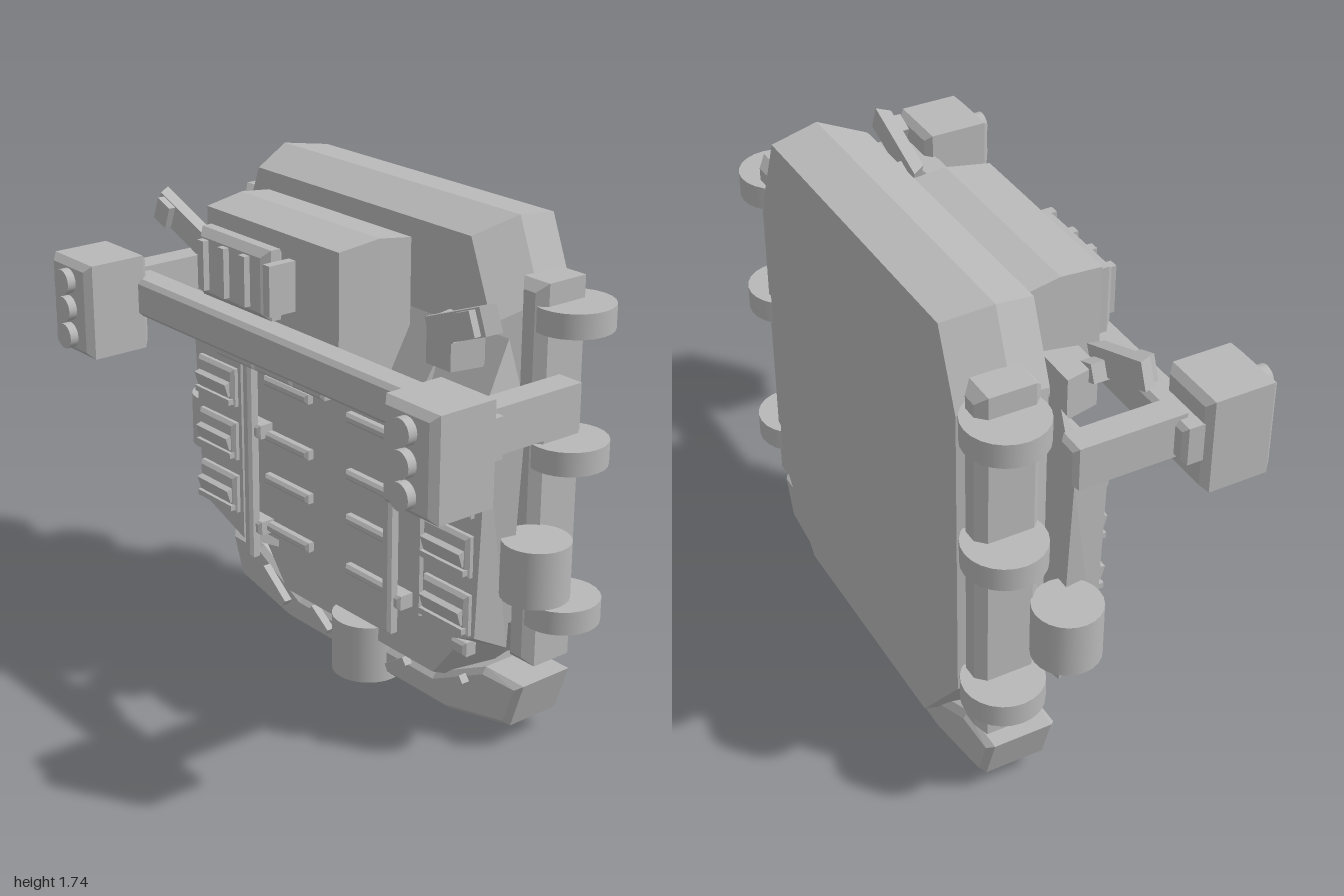
import * as THREE from 'three';

const grey = new THREE.MeshStandardMaterial({ color: 0xb8b8b8 });
grey.name = 'armourGrey';

// Faceted solid through convex cross-sections [z, [[x, y]...]], back to front, counter-clockwise
function loft(sections) {
  const v = [];
  const put = (s, i) => v.push(s[1][i][0], s[1][i][1], s[0]);
  const n = sections[0][1].length;
  for (let k = 0; k < sections.length - 1; k++) {
    const a = sections[k], b = sections[k + 1];
    for (let i = 0; i < n; i++) {
      const j = (i + 1) % n;
      put(a, i); put(a, j); put(b, j);
      put(a, i); put(b, j); put(b, i);
    }
  }
  const back = sections[0], front = sections[sections.length - 1];
  for (let i = 1; i < n - 1; i++) {
    put(front, 0); put(front, i); put(front, i + 1);
    put(back, 0); put(back, i + 1); put(back, i);
  }
  const g = new THREE.BufferGeometry();
  g.setAttribute('position', new THREE.Float32BufferAttribute(v, 3));
  g.computeVertexNormals();
  return g;
}

const rect = (x0, x1, y0, y1) => [[x0, y0], [x1, y0], [x1, y1], [x0, y1]];

// Box with chamfered edges, centred on the origin
function bevelBox(w, h, d, b) {
  const s = new THREE.Shape(rect(b - w / 2, w / 2 - b, b - h / 2, h / 2 - b).map(p => new THREE.Vector2(...p)));
  const g = new THREE.ExtrudeGeometry(s, {
    depth: d - 2 * b, bevelEnabled: true, bevelSize: b, bevelThickness: b, bevelSegments: 1,
  });
  return g.translate(0, 0, b - d / 2);
}

function add(parent, name, geometry, x = 0, y = 0, z = 0, rz = 0) {
  const m = new THREE.Mesh(geometry, grey);
  m.name = name;
  m.position.set(x, y, z);
  m.rotation.z = rz;
  parent.add(m);
  return m;
}

// Box given by its extents
function block(parent, name, x0, x1, y0, y1, z0, z1, b = 0) {
  const g = b ? bevelBox(x1 - x0, y1 - y0, z1 - z0, b) : new THREE.BoxGeometry(x1 - x0, y1 - y0, z1 - z0);
  return add(parent, name, g, (x0 + x1) / 2, (y0 + y1) / 2, (z0 + z1) / 2);
}

export function createModel() {
  const model = new THREE.Group();
  model.name = 'armouredPack';
  const body = new THREE.Group();
  body.name = 'body';
  body.position.x = -0.07;
  model.add(body);

  // Main octagonal back slab, bevelled front and back
  const octagon = d => [
    [-0.45, 0.11], [0.45, 0.11], [0.68, 0.4], [0.68, 1.49],
    [0.58, 1.74], [-0.58, 1.74], [-0.68, 1.49], [-0.68, 0.4],
  ].map(([x, y]) => [x - Math.sign(x) * d, y - Math.sign(y - 0.93) * d]);
  add(body, 'backSlab', loft([[-0.46, octagon(0.025)], [-0.295, octagon(0)], [-0.145, octagon(0.052)]]));

  // Recessed centre panel between the side pods
  add(body, 'centrePanel', loft([
    [-0.15, rect(-0.46, 0.46, 0.375, 1.41)], [-0.04, rect(-0.44, 0.44, 0.42, 1.2)],
  ]));

  for (const s of [-1, 1]) {
    const mirror = pts => (s > 0 ? pts : pts.map(([x, y]) => [-x, y]).reverse());

    // Side pod with sloping top and underside
    add(body, 'sidePod', loft([
      [-0.15, mirror([[0.44, 0.31], [0.735, 0.39], [0.785, 1.2], [0.7, 1.41], [0.44, 1.41]])],
      [-0.02, mirror([[0.48, 0.37], [0.725, 0.46], [0.755, 1.15], [0.73, 1.2], [0.485, 1.2]])],
    ]));

    // Louvred vents
    for (let i = 0; i < 4; i++) {
      const y = 1.135 - i * 0.2;
      add(body, 'ventFrame', bevelBox(0.21, 0.14, 0.04, 0.012), s * 0.605, y, -0.015);
      add(body, 'ventSlat', new THREE.BoxGeometry(0.18, 0.05, 0.03), s * 0.605, y - 0.005, 0.005).rotation.x = 0.3;
      add(body, 'ventLip', new THREE.BoxGeometry(0.2, 0.02, 0.02), s * 0.605, y - 0.05, 0.008);
    }
    add(body, 'podFoot', bevelBox(0.07, 0.05, 0.06, 0.01), s * 0.56, 0.335, -0.13);

    // Vertical rail with clamps and cross bars
    add(body, 'rail', bevelBox(0.042, 0.765, 0.045, 0.01), s * 0.37, 0.74, 0.022);
    for (const y of [1.09, 0.83, 0.47])
      add(body, 'railClamp', bevelBox(0.09, 0.05, 0.07, 0.01), s * 0.37, y, -0.01);
    for (const y of [1.01, 0.81, 0.65, 0.47])
      add(body, 'crossBar', bevelBox(0.24, 0.035, 0.04, 0.01), s * 0.22, y, -0.025);

    // Side tank with three round brackets and a canister
    add(body, 'sideTank', bevelBox(0.11, 1.28, 0.21, 0.03), s * 0.697, 0.932, -0.335);
    for (const y of [1.46, 1.02, 0.48])
      add(body, 'roundBracket', new THREE.CylinderGeometry(0.13, 0.13, 0.08, 24), s * 0.757, y, -0.36);
    add(body, 'canister', new THREE.CylinderGeometry(0.11, 0.11, 0.19, 24), s * 0.82, 0.695, -0.18);

    // Tilted lamp plate on its mount
    add(body, 'lampMount', loft([
      [-0.1, rect(-0.08, 0.08, -0.08, 0.06)], [0.015, rect(-0.055, 0.055, -0.08, 0.06)],
    ]), s * 0.57, 1.4, 0);
    const lamp = new THREE.Group();
    lamp.name = 'tiltedLamp';
    lamp.position.set(s * 0.7, 1.495, 0);
    lamp.rotation.z = s * 0.37;
    body.add(lamp);
    add(lamp, 'lampPlate', loft([
      [0.025, rect(-0.15, 0.15, -0.044, 0.044)], [0.07, rect(-0.125, 0.125, -0.044, 0.044)],
    ]));
    add(lamp, 'lampLens', new THREE.BoxGeometry(0.07, 0.08, 0.03), s * 0.07, 0, 0.08);
    add(lamp, 'lampStem', new THREE.BoxGeometry(0.06, 0.06, 0.06), -s * 0.09, -0.02, 0.01);

    // Slanted cleats above the bumper
    add(body, 'longCleat', new THREE.BoxGeometry(0.16, 0.03, 0.03), s * 0.475, 0.145, -0.155, s * 0.65);
    add(body, 'shortCleat', new THREE.BoxGeometry(0.11, 0.03, 0.03), s * 0.21, 0.11, -0.155, s * 0.6);
  }

  // U-shaped lower bumper
  const half = [[0.36, 0.13], [0.6, 0.25], [0.775, 0.25], [0.72, 0.085], [0.43, 0.02]];
  const outline = [...half, ...half.map(([x, y]) => [-x, y]).reverse()];
  const bumper = new THREE.ExtrudeGeometry(new THREE.Shape(outline.map(p => new THREE.Vector2(...p))), {
    depth: 0.2, bevelEnabled: true, bevelSize: 0.02, bevelThickness: 0.02, bevelOffset: -0.02, bevelSegments: 1,
  });
  add(body, 'bumper', bumper, 0, 0, -0.395);
  add(body, 'bottomDrum', new THREE.CylinderGeometry(0.127, 0.127, 0.21, 32), 0, 0.105, -0.197);

  // Offset upper housing with ridged roof
  add(model, 'upperHousing', loft([
    [-0.12, [[-0.51, 1.15], [0.215, 1.15], [0.215, 1.635], [-0.51, 1.635]]],
    [0, [[-0.5, 1.15], [0.208, 1.15], [0.208, 1.65], [-0.5, 1.65]]],
    [0.15, [[-0.485, 1.16], [0.195, 1.16], [0.195, 1.63], [-0.485, 1.63]]],
  ]));
  for (const [x0, x1] of [[-0.43, -0.22], [-0.22, -0.02], [-0.02, 0.14]])
    block(model, 'housingLip', x0, x1, 1.14, 1.195, 0.12, 0.172, 0.01);

  // Grille box with vertical bars
  block(model, 'grilleBox', -0.435, -0.07, 1.355, 1.585, 0.145, 0.23, 0.025);
  for (const x of [-0.385, -0.275, -0.165, -0.035])
    block(model, 'grilleBar', x - 0.016, x + 0.016, 1.39, 1.555, x > -0.1 ? 0.15 : 0.22, 0.252);

  // Light bar on two arms with triple lamp boxes
  block(model, 'lightBar', -0.945, 0.95, 1.21, 1.34, 0.155, 0.265, 0.015);
  for (const s of [-1, 1]) {
    const arm = 0.015 + s * 0.865;
    block(model, 'lightBarArm', arm - 0.045, arm + 0.045, 1.21, 1.355, -0.175, 0.21, 0.015);
    block(model, 'lampBox', arm - 0.113, arm + 0.113, 1.095, 1.42, 0.22, 0.465, 0.022);
    for (const y of [1.35, 1.255, 1.16]) {
      add(model, 'roundLamp', new THREE.CylinderGeometry(0.043, 0.043, 0.04, 20), arm, y, 0.475).rotation.x = Math.PI / 2;
    }
  }
  return model;
}
